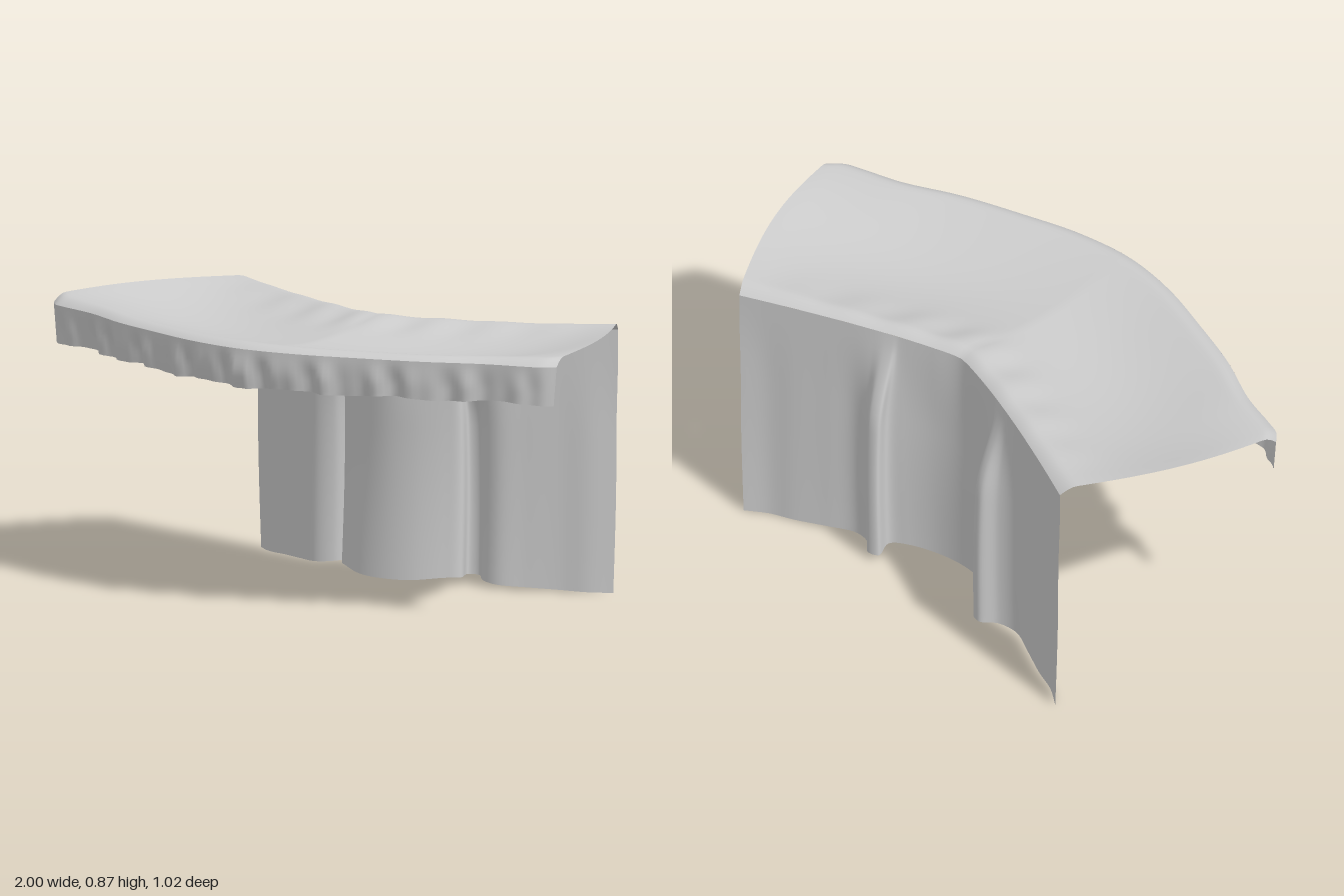
import * as THREE from 'three';

const material = new THREE.MeshStandardMaterial({ color: 0xcccccc, side: THREE.DoubleSide });
const V = (x, y, z) => new THREE.Vector3(x, y, z);
const smooth = THREE.MathUtils.smoothstep;

// Cloth sheet: u runs -1..1 across, v runs 0..1 down the rows
function sheet(name, cols, rows, rule) {
  const geo = new THREE.PlaneGeometry(2, 1, cols, rows);
  const pos = geo.attributes.position;
  for (let i = 0; i < pos.count; i++) {
    const p = rule(pos.getX(i), 0.5 - pos.getY(i));
    pos.setXYZ(i, p.x, p.y, p.z);
  }
  geo.computeVertexNormals();
  const mesh = new THREE.Mesh(geo, material);
  mesh.name = name;
  return mesh;
}

// Symmetric curve from the points of its +x half, listed from the centre out
function mirroredCurve(half) {
  const right = half.map(([x, z]) => V(x, 0, z));
  const left = right.slice(1).reverse().map((p) => V(-p.x, 0, p.z));
  return new THREE.CatmullRomCurve3([...left, ...right]);
}

// Plan of the back edge, a shallow V, and of the bowed front edge
const backZ = (x) => -0.237 - 0.27 * Math.pow(Math.abs(x) / 0.72, 1.22);
const frontEdge = mirroredCurve([[0, 0.505], [0.2, 0.48], [0.4, 0.42], [0.6, 0.35],
  [0.78, 0.265], [0.91, 0.225], [0.965, 0.205], [1, 0.17]]);
const EDGE_Y = 0.842;

// Sagging roof with raised side edges and rounded front and back rims
function canopyPoint(u, v) {
  const f = frontEdge.getPoint((u + 1) / 2);
  // pack rows towards both rims
  const t = 0.5 - 0.5 * Math.cos(Math.PI * v);
  const a = Math.abs(f.x);
  const bx = f.x * 0.72;
  const bz = backZ(bx);
  const arch = Math.sin(Math.PI * t);
  const sag = (0.055 + 0.02 * Math.sin(Math.PI * Math.min(a, 1))) * (1 - Math.pow(a, 5)) * Math.pow(arch, 1.2);
  const drop = 0.026 * (1 - Math.sqrt(smooth(Math.min(t, 1 - t), 0, 0.07)));
  const crease = 0.006 * Math.sin(a * 26) * Math.exp(-Math.pow((t - 0.14) / 0.1, 2)) * (1 - a);
  return V(
    bx + (f.x - bx) * t + 0.045 * Math.pow(f.x, 3) * arch,
    EDGE_Y + 0.026 - drop - sag + crease + 0.006 * Math.pow(a, 4) * arch,
    bz + (f.z - bz) * t
  );
}

// Short front valance with small pleats that deepen downwards
function valancePoint(u, v) {
  const f = frontEdge.getPoint((u + 1) / 2);
  const a = Math.abs(f.x);
  const pleat = 0.009 * Math.sin(a * 43 + 1.2) + 0.006 * Math.sin(a * 71);
  const out = (pleat * smooth(v, 0, 0.7) - 0.014 * v) * (1 - Math.pow(a, 12));
  const dir = V(f.x * 0.6, 0, 1).normalize();
  return V(
    f.x * (1 - 0.012 * v * a) + dir.x * out,
    EDGE_Y - (0.122 + 0.004 * Math.cos(a * 19)) * v,
    f.z + dir.z * out + 0.006 * Math.sin(Math.PI * v) * (1 - a)
  );
}

// Long back curtain: the top follows the back edge, the hem has two folded pleats
const hemHalf = [[0, -0.225], [0.1, -0.24], [0.19, -0.285], [0.235, -0.325], [0.213, -0.39],
  [0.25, -0.402], [0.295, -0.36], [0.36, -0.347], [0.45, -0.385], [0.55, -0.432], [0.63, -0.462], [0.7, -0.508]];
const topX = [0, 0.1, 0.19, 0.215, 0.235, 0.26, 0.3, 0.36, 0.45, 0.55, 0.64, 0.72];
const hem = mirroredCurve(hemHalf);
const head = mirroredCurve(topX.map((x) => [x, backZ(x)]));

function curtainPoint(u, v) {
  // u is reversed so the sheet faces backwards
  const s = (1 - u) / 2;
  const p = head.getPoint(s);
  const q = hem.getPoint(s);
  const k = 0.65 * smooth(v, 0, 0.4) + 0.35 * v;
  const a = Math.abs(q.x);
  const hemY = 0.012 + 0.014 * Math.exp(-Math.pow((a - 0.22) / 0.09, 2)) - 0.012 * smooth(a, 0.3, 0.7);
  return V(
    p.x + (q.x - p.x) * k + 0.025 * Math.pow(p.x, 3) * Math.sin(Math.PI * v),
    EDGE_Y + (hemY - EDGE_Y) * v,
    p.z + (q.z - p.z) * k - 0.018 * Math.sin(Math.PI * v) * (1 - smooth(a, 0.1, 0.6))
  );
}

export function createModel() {
  const group = new THREE.Group();
  group.name = 'clothCanopy';
  group.add(
    sheet('canopyRoof', 120, 40, canopyPoint),
    sheet('frontValance', 180, 10, valancePoint),
    sheet('backCurtain', 176, 24, curtainPoint)
  );
  return group;
}
